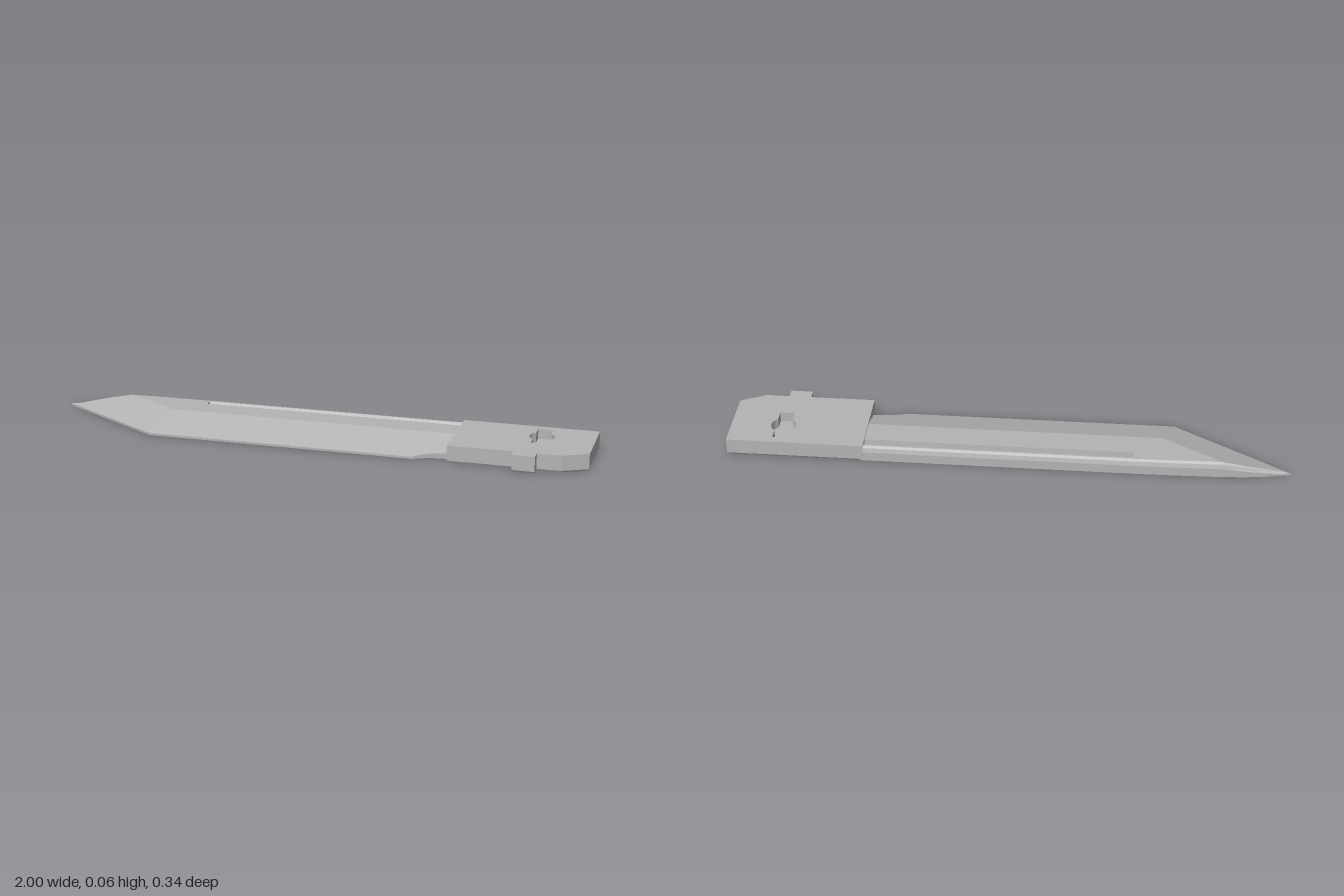
import * as THREE from 'three';

const steel = new THREE.MeshStandardMaterial({ color: 0xb4b4b4, flatShading: true });
steel.name = 'steel grey';

const EDGE = 0.008, TOP = 0.056;

// Straight-line interpolation through [x, value] pairs
function lerpTable(table, x) {
  for (let i = 1; i < table.length; i++) {
    const [x0, v0] = table[i - 1], [x1, v1] = table[i];
    if (x <= x1) return v0 + (v1 - v0) * (x - x0) / (x1 - x0);
  }
  return table[table.length - 1][1];
}

// Plan outline of the blade: cutting edge, spine, and top ridge
const cuttingEdge = [[-1, -0.13], [-0.59, 0.13], [0.39, 0.13], [0.41, 0.117], [0.44, 0.105], [0.475, 0.098], [0.52, 0.095]];
const spine = [[-1, -0.13], [-0.92, -0.146], [-0.84, -0.157], [-0.76, -0.162], [-0.6, -0.167], [-0.45, -0.169], [0.52, -0.169]];
const ridge = [[-1, -0.13], [-0.76, -0.15], [-0.55, -0.02], [0.52, -0.02]];

// Height is the lowest of the flat top, the long bevel and the tip bevel
function height(x, z) {
  const bevel = EDGE + (0.13 - z) / 0.15 * (TOP - EDGE);
  const tip = EDGE + ((x + 1) * 0.26 - (z + 0.13) * 0.41) / 0.0706 * (TOP - EDGE);
  return Math.max(EDGE, Math.min(TOP, bevel, tip));
}

// One blade cross-section, running from the cutting edge over to the spine
function section(x, grooved) {
  const zf = lerpTable(cuttingEdge, x), zb = lerpTable(spine, x);
  const zs = Math.min(zb + 0.012, zf);
  const zr = Math.max(zs, lerpTable(ridge, x));
  const top = z => {
    const c = Math.min(zr, Math.max(zs, z));
    return [x, height(x, c), c];
  };
  const groove = [-0.119, -0.121, -0.137, -0.151].map(top);
  if (grooved) groove[1][1] = groove[2][1] = 0.036;
  const hs = height(x, zs);
  return [
    [x, 0, zf], [x, height(x, zf), zf], top(zr), ...groove,
    [x, hs, zs], [x, hs * 0.88, zb + (zs - zb) * 0.4], [x, hs * 0.6, zb], [x, 0, zb],
  ];
}

function bladeGeometry() {
  const plain = [-1, -0.96, -0.92, -0.84, -0.76, -0.68, -0.59, -0.55, -0.45];
  const grooved = [-0.45, 0.39, 0.41, 0.44, 0.475, 0.52];
  const rings = [...plain.map(x => section(x, false)), ...grooved.map(x => section(x, true))];
  const pos = [];
  const a = new THREE.Vector3(), b = new THREE.Vector3(), c = new THREE.Vector3();
  const tri = (p, q, r) => {
    a.fromArray(p); b.fromArray(q); c.fromArray(r);
    if (b.sub(a).cross(c.sub(a)).length() > 1e-9) pos.push(...p, ...q, ...r);
  };
  for (let s = 0; s < rings.length - 1; s++) {
    const A = rings[s], B = rings[s + 1];
    for (let i = 0; i < A.length; i++) {
      const j = (i + 1) % A.length;
      tri(A[i], B[i], B[j]);
      tri(A[i], B[j], A[j]);
    }
  }
  const geo = new THREE.BufferGeometry();
  geo.setAttribute('position', new THREE.Float32BufferAttribute(pos, 3));
  geo.computeVertexNormals();
  return geo;
}

// Tang outline, given as [x, z]
function tangShape() {
  const pts = [[0.51, 0.13], [0.745, 0.13], [0.745, 0.167], [0.825, 0.167], [0.825, 0.13],
    [0.91, 0.13], [1, 0.085], [1, -0.17], [0.51, -0.17]];
  return new THREE.Shape(pts.map(([x, z]) => new THREE.Vector2(x, -z)));
}

// Keyhole: a narrow slot with a round middle
function keyhole() {
  const cx = 0.812, cy = 0.06, w = 0.027, l = 0.079, r = 0.045;
  const t = Math.acos(w / r), pts = [];
  for (const side of [1, -1]) {
    pts.push(new THREE.Vector2(cx + side * w, cy - side * l));
    for (let i = 0; i <= 8; i++) {
      const ang = -t + 2 * t * i / 8;
      pts.push(new THREE.Vector2(cx + side * r * Math.cos(ang), cy + side * r * Math.sin(ang)));
    }
    pts.push(new THREE.Vector2(cx + side * w, cy + side * l));
  }
  return new THREE.Path(pts);
}

function slab(shape, y0, y1) {
  return new THREE.ExtrudeGeometry(shape, { depth: y1 - y0, bevelEnabled: false })
    .rotateX(-Math.PI / 2).translate(0, y0, 0);
}

export function createModel() {
  const group = new THREE.Group();
  group.name = 'knifeBlade';
  const add = (name, geo) => {
    const mesh = new THREE.Mesh(geo, steel);
    mesh.name = name;
    group.add(mesh);
  };

  add('blade', bladeGeometry());

  // Chamfered underside of the tang
  const foot = slab(tangShape(), 0, 0.006);
  const p = foot.attributes.position;
  for (let i = 0; i < p.count; i++) {
    if (p.getY(i) < 0.003) p.setXYZ(i, 0.755 + (p.getX(i) - 0.755) * 0.985, 0, p.getZ(i) * 0.975);
  }
  foot.computeVertexNormals();
  add('tangFoot', foot);

  // Solid lower half closes the keyhole pocket cut in the upper half
  add('tangBase', slab(tangShape(), 0.006, 0.025));
  const upper = tangShape();
  upper.holes.push(keyhole());
  add('tangTop', slab(upper, 0.025, 0.061));

  return group;
}
